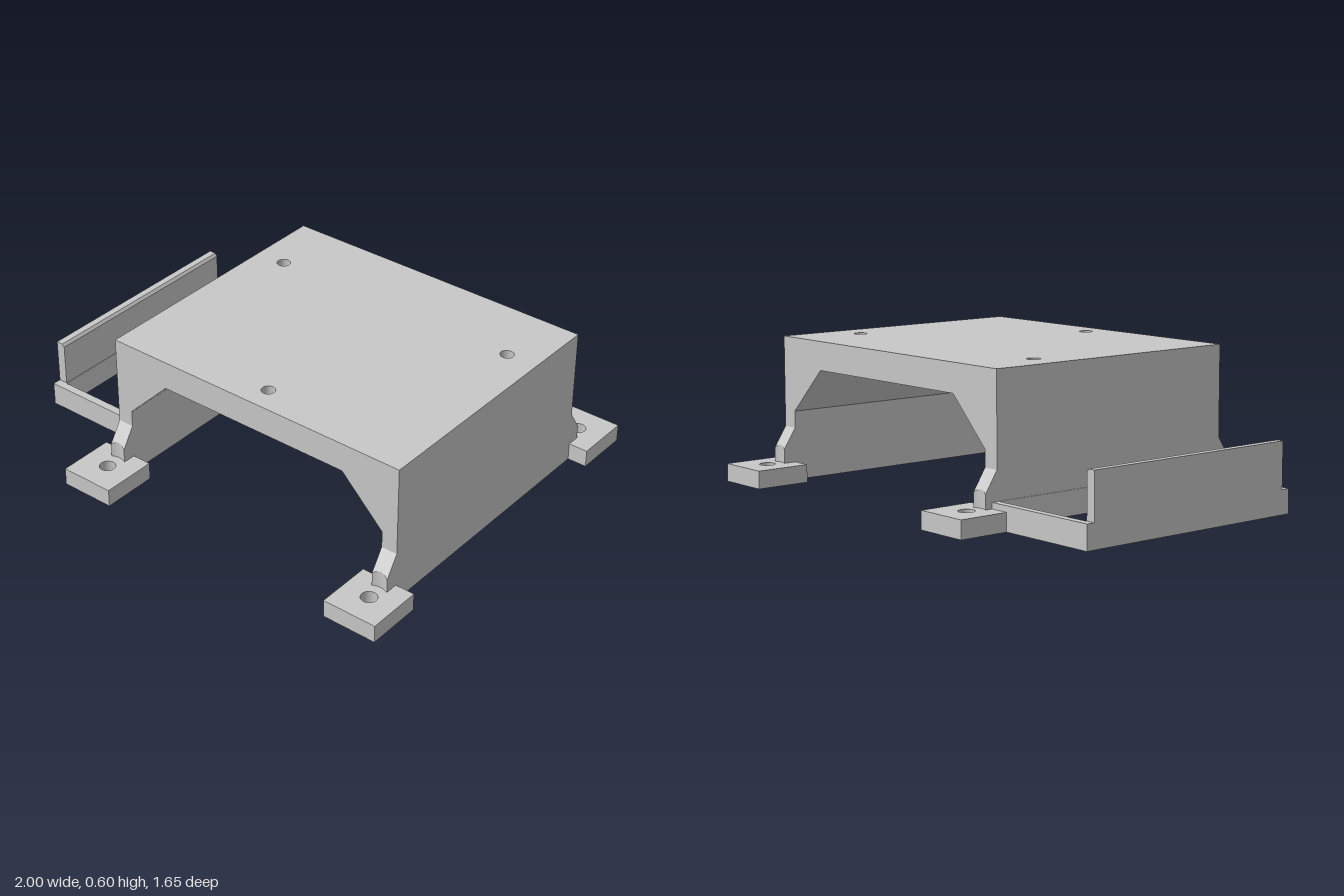
import * as THREE from 'three';

const grey = new THREE.MeshStandardMaterial({ color: 0xc8c8c8 });
grey.name = 'plain grey';

const toPoints = (pts) => pts.map(([a, b]) => new THREE.Vector2(a, b));

// Prism from a floor plan given as [x, z] corners, rising from y0 by height
function planPrism(pts, y0, height, holes = []) {
  const flip = (list) => toPoints(list.map(([x, z]) => [x, -z]));
  const shape = new THREE.Shape(flip(pts));
  // Holes wind against the outline so that their walls face inwards
  for (const h of holes) shape.holes.push(new THREE.Path(flip(h).reverse()));
  const geo = new THREE.ExtrudeGeometry(shape, { depth: height, bevelEnabled: false });
  return geo.rotateX(-Math.PI / 2).translate(0, y0, 0);
}

// Prism from a front profile given as [x, y] corners, running from z0 to z1
function profilePrism(pts, z0, z1) {
  const geo = new THREE.ExtrudeGeometry(new THREE.Shape(toPoints(pts)), { depth: z1 - z0, bevelEnabled: false });
  return geo.translate(0, 0, z0);
}

const rect = (x0, x1, z0, z1) => [[x0, z0], [x1, z0], [x1, z1], [x0, z1]];

const circle = (cx, cz, r, n = 32) => Array.from({ length: n }, (_, i) => {
  const a = (i / n) * Math.PI * 2;
  return [cx + r * Math.cos(a), cz + r * Math.sin(a)];
});

export function createModel() {
  const model = new THREE.Group();
  model.name = 'mountingBracket';
  const add = (parent, name, geo) => {
    const mesh = new THREE.Mesh(geo, grey);
    mesh.name = name;
    parent.add(mesh);
  };

  const Z = 0.587; // half depth of the bridge
  const mid = 0.2215; // centre of the bridge in x
  const half = 0.695; // half width of the bridge
  const legX = 0.66; // leg centre, measured from mid

  // Top plate: two holes end on the braces, one goes right through
  const holes = [[-0.34, -0.292], [0.78, -0.292], [0.22, 0.482]].map(([x, z]) => circle(x, z, 0.028));
  add(model, 'topPlate', planPrism(rect(mid - half, mid + half, -Z, Z), 0.48, 0.12, holes));

  for (const s of [-1, 1]) {
    // Side wall with its sloping brace
    const wall = [[half, 0], [0.625, 0], [0.625, 0.29], [0.435, 0.48], [half, 0.48]];
    add(model, s < 0 ? 'rightWall' : 'leftWall', profilePrism(wall.map(([x, y]) => [mid + s * x, y]), -Z, Z));

    // Screw feet at the front and back of each wall
    for (const end of ['front', 'back']) {
      const foot = new THREE.Group();
      foot.name = end + (s < 0 ? 'Right' : 'Left') + 'Foot';
      foot.position.x = mid + s * legX;
      if (end === 'back') foot.rotation.y = Math.PI;
      model.add(foot);
      add(foot, 'footPad', planPrism(rect(-0.1185, 0.1185, Z, 0.826), 0, 0.075, [circle(0, 0.705, 0.033)]));

      // Gusset: sloping top, hollowed to clear the screw head
      const plan = [[-0.035, 0.575], [0.035, 0.575]];
      for (let i = 0; i <= 8; i++) {
        const x = 0.035 - (0.07 * i) / 8;
        plan.push([x, 0.705 - Math.sqrt(0.071 ** 2 - x * x)]);
      }
      const gusset = planPrism(plan, 0.06, 0.1);
      const p = gusset.attributes.position;
      for (let i = 0; i < p.count; i++) {
        if (p.getY(i) > 0.1) p.setY(i, 0.22 - 1.55 * (p.getZ(i) - Z));
      }
      gusset.computeVertexNormals();
      add(foot, 'gusset', gusset);
    }
  }

  // Side frame: the opening widens slightly towards the top
  const frame = planPrism(rect(-1, -0.455, -0.61, 0.437), 0, 0.1, [rect(-0.95, -0.485, -0.57, 0.394)]);
  const f = frame.attributes.position;
  for (let i = 0; i < f.count; i++) {
    const x = f.getX(i), z = f.getZ(i);
    if (f.getY(i) < 0.05 || x < -0.97 || x > -0.47) continue;
    f.setX(i, x < -0.7 ? x - 0.008 : x + 0.008);
    f.setZ(i, z < 0 ? z - 0.008 : z + 0.008);
  }
  frame.computeVertexNormals();
  add(model, 'sideFrame', frame);

  // Upright lip on the outer edge of the frame
  const lip = [[-1, 0.1], [-0.96, 0.1], [-0.96, 0.278], [-0.97, 0.29], [-1, 0.29]];
  add(model, 'frameLip', profilePrism(lip, -0.575, 0.4));

  return model;
}
